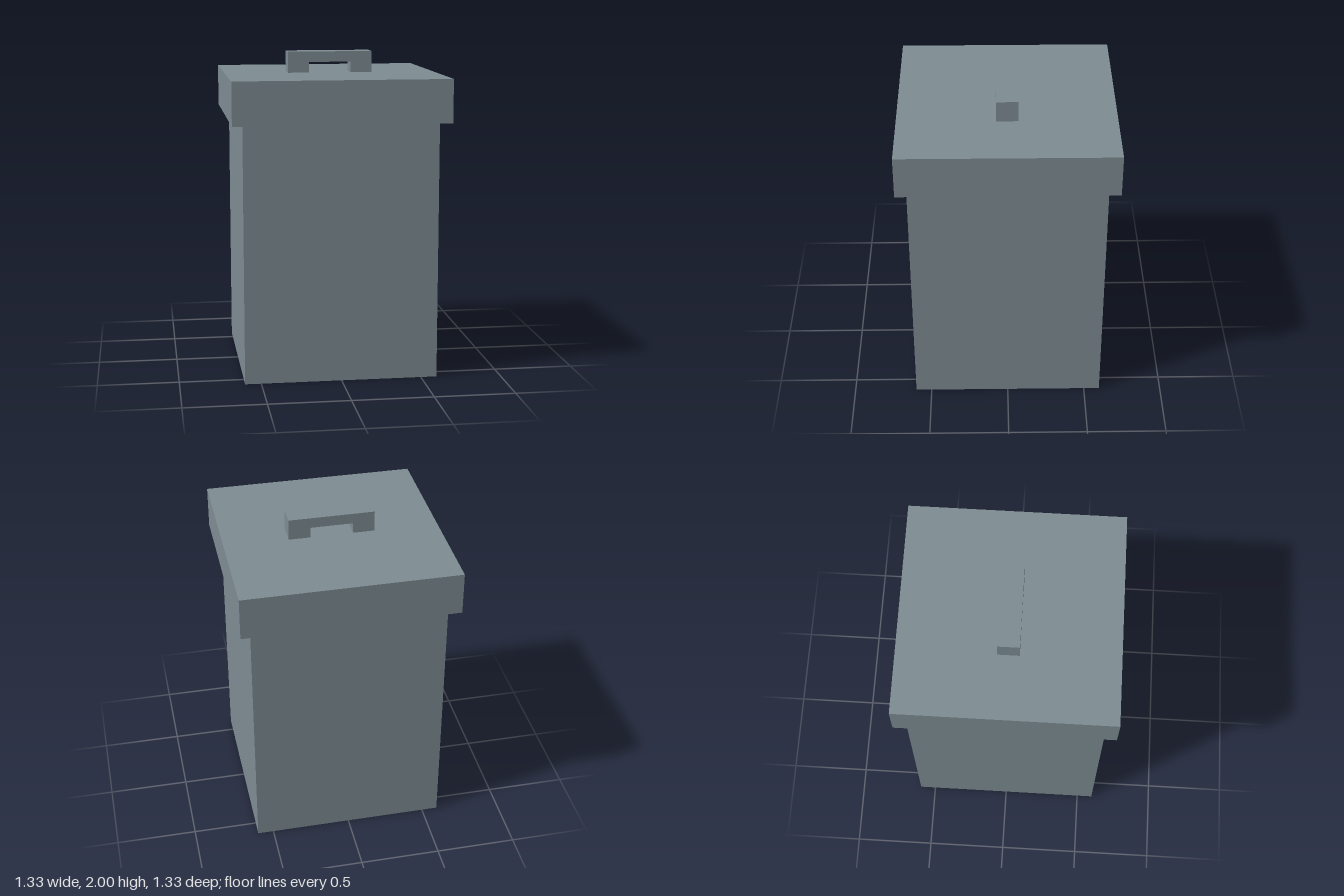
import * as THREE from 'three';

export function createModel() {
  const model = new THREE.Group();
  model.name = 'bin';

  const makeMaterial = (name, color) => {
    const material = new THREE.MeshStandardMaterial({ color });
    material.name = name;
    return material;
  };
  const metal = makeMaterial('grey metal', 0x7e8c92);
  const paleMetal = makeMaterial('pale grey metal', 0xb8c3c7);

  const add = (name, geometry, y, material = metal) => {
    const mesh = new THREE.Mesh(geometry, material);
    mesh.name = name;
    mesh.position.y = y;
    model.add(mesh);
  };

  const bodyTop = 1.6;
  const lidTop = 1.867;
  const lidWidth = 1.333;

  // Square body with a pale underside (box faces: +x, -x, +y, -y, +z, -z)
  const bodyFaces = [metal, metal, metal, paleMetal, metal, metal];
  add('body', new THREE.BoxGeometry(1.2, bodyTop, 1.2), bodyTop / 2, bodyFaces);

  // Overhanging lid
  add('lid', new THREE.BoxGeometry(lidWidth, lidTop - bodyTop, lidWidth), (bodyTop + lidTop) / 2);

  // Bridge-shaped handle, extruded along z
  const outer = 0.267, inner = 0.133, height = 0.133, gap = 0.067, depth = 0.133;
  const profile = new THREE.Shape([
    [-outer, 0], [-inner, 0], [-inner, gap], [inner, gap],
    [inner, 0], [outer, 0], [outer, height], [-outer, height],
  ].map(([x, y]) => new THREE.Vector2(x, y)));
  const handle = new THREE.ExtrudeGeometry(profile, { depth, bevelEnabled: false });
  handle.translate(0, 0, -depth / 2);
  add('handle', handle, lidTop);

  return model;
}
